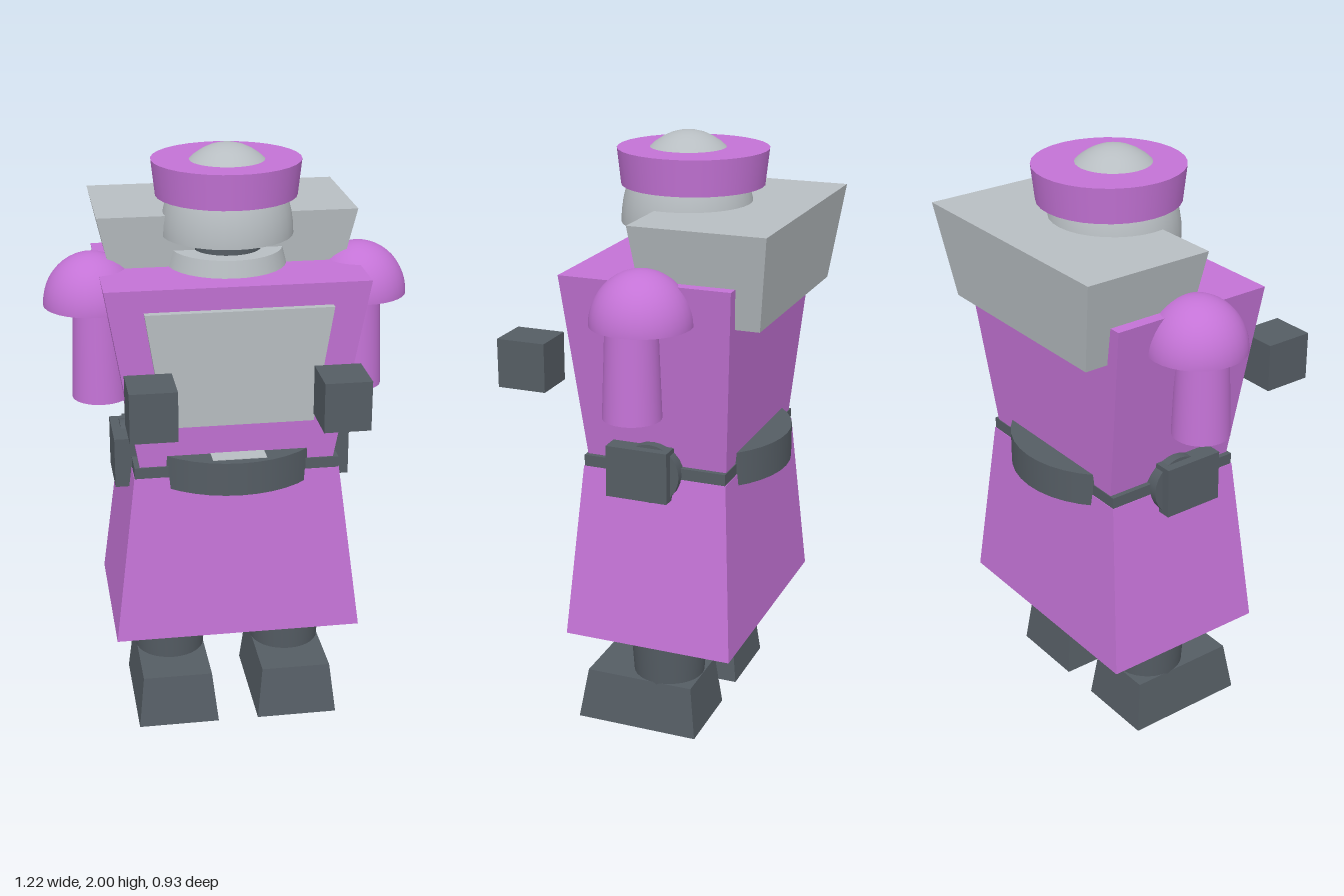
import * as THREE from 'three';

const material = (name, color) => {
  const m = new THREE.MeshStandardMaterial({ color });
  m.name = name;
  return m;
};

// Box between two rectangles [x0, x1, z0, z1] at heights y0 and y1
function taperedBox(y0, bottom, y1, top) {
  const g = new THREE.BoxGeometry(1, 1, 1);
  const p = g.attributes.position;
  for (let i = 0; i < p.count; i++) {
    const upper = p.getY(i) > 0;
    const r = upper ? top : bottom;
    p.setXYZ(i, p.getX(i) < 0 ? r[0] : r[1], upper ? y1 : y0, p.getZ(i) < 0 ? r[2] : r[3]);
  }
  const flat = g.toNonIndexed();
  flat.computeVertexNormals();
  return flat;
}

const box = (x0, x1, y0, y1, z0, z1) => taperedBox(y0, [x0, x1, z0, z1], y1, [x0, x1, z0, z1]);

// Upright cone section with its own centre
const drum = (x, z, y0, r0, y1, r1, sides = 32) =>
  new THREE.CylinderGeometry(r1, r0, y1 - y0, sides).translate(x, (y0 + y1) / 2, z);

// Half ellipsoid standing on y, closed underneath
function dome(x, y, z, r, height) {
  const points = [new THREE.Vector2(0, 0), new THREE.Vector2(r, 0)];
  const base = new THREE.CircleGeometry(r, 32).rotateX(Math.PI / 2).translate(x, y, z);
  const shell = new THREE.SphereGeometry(r, 32, 12, 0, Math.PI * 2, 0, Math.PI / 2)
    .scale(1, height / r, 1).translate(x, y, z);
  return [shell, base];
}

export function createModel() {
  const model = new THREE.Group();
  const purple = material('purple', 0xc473d6);
  const dark = material('dark slate', 0x555d64);
  const grey = material('light grey', 0xb8bec2);

  const add = (name, mat, ...geometries) => {
    const part = new THREE.Group();
    part.name = name;
    for (const g of geometries) part.add(new THREE.Mesh(g, mat));
    model.add(part);
  };

  // Body
  add('skirt', purple, taperedBox(0.355, [-0.42, 0.42, -0.36, 0.22], 0.94, [-0.345, 0.345, -0.315, 0.178]));
  add('torso', purple, taperedBox(0.975, [-0.325, 0.325, -0.31, 0.17], 1.6, [-0.43, 0.43, -0.355, 0.215]));
  add('chestPanel', grey, taperedBox(1.135, [-0.245, 0.245, 0.1, 0.225], 1.525, [-0.305, 0.305, 0.1, 0.235]));

  // Belt
  add('waistBand', dark, box(-0.343, 0.343, 0.935, 0.978, -0.313, 0.176));
  add('roundBelt', dark, drum(0, -0.07, 0.9, 0.338, 1.015, 0.338, 40));
  add('beltInset', grey, box(-0.09, 0.09, 1.01, 1.017, 0.1, 0.235));

  // Backpack
  add('backpack', grey, taperedBox(1.465, [-0.36, 0.36, -0.425, -0.05], 1.775, [-0.43, 0.43, -0.463, -0.017]));

  // Head
  add('collar', grey, drum(0, -0.07, 1.58, 0.203, 1.655, 0.185));
  add('neck', dark, drum(0, -0.057, 1.64, 0.113, 1.72, 0.113));
  add('head', grey, ...dome(0, 1.705, -0.052, 0.217, 0.295));
  add('hatBrim', purple, drum(0, -0.07, 1.83, 0.233, 1.947, 0.246));

  // Mirrored limbs
  for (const [side, s] of [['left', 1], ['right', -1]]) {
    const span = (a, b) => (s > 0 ? [a, b] : [-b, -a]);
    add(side + 'Shoulder', purple, ...dome(s * 0.448, 1.477, -0.072, 0.162, 0.173));
    add(side + 'Arm', purple, drum(s * 0.432, -0.033, 1.165, 0.095, 1.5, 0.082));
    add(side + 'Hand', dark, box(...span(0.229, 0.38), 1.188, 1.352, 0.296, 0.463));
    add(side + 'HipPouch', dark,
      box(...span(0.3, 0.4), 0.87, 1.043, -0.135, 0.075),
      new THREE.CylinderGeometry(0.1, 0.1, 0.06, 24).rotateZ(Math.PI / 2).translate(s * 0.34, 0.955, -0.065));
    add(side + 'Leg', dark, drum(s * 0.21, -0.07, 0.16, 0.12, 0.37, 0.135));
    add(side + 'Foot', dark, taperedBox(
      0, [...span(0.07, 0.35), -0.215, 0.212],
      0.177, [...span(0.09, 0.33), -0.193, 0.183]));
  }
  return model;
}
